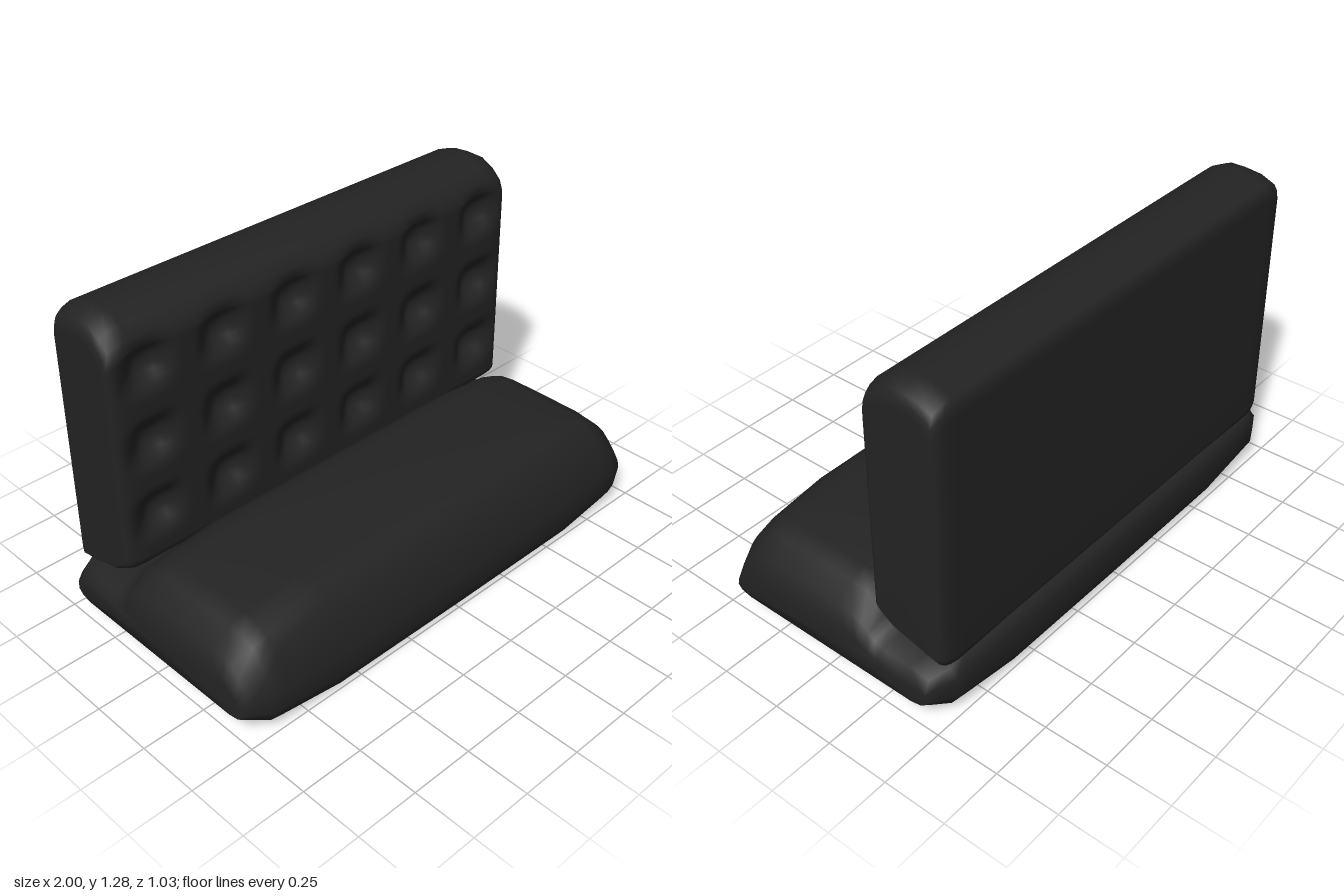
import * as THREE from 'three';

// Skin a closed (z, y) profile through stations along x; each station gives
// [x, zScale, yLow, yHigh]. dent(x, y, z) returns how far a point is pushed back.
function loft(profile, stations, zMid, dent) {
  const ys = profile.map(p => p[1]);
  const lo = Math.min(...ys), hi = Math.max(...ys);
  const n = profile.length, pos = [], idx = [];
  for (const [x, zs, y0, y1] of stations) {
    for (const [pz, py] of profile) {
      const y = y0 + (py - lo) / (hi - lo) * (y1 - y0);
      const z = zMid + (pz - zMid) * zs;
      pos.push(x, y, z - (dent ? dent(x, y, z) : 0));
    }
  }
  for (let i = 0; i < stations.length - 1; i++) {
    for (let j = 0; j < n; j++) {
      const k = (j + 1) % n;
      const a = i * n + j, b = i * n + k, c = b + n, d = a + n;
      idx.push(a, d, c, a, c, b);
    }
  }
  // End caps
  for (const end of [0, stations.length - 1]) {
    const [x, , y0, y1] = stations[end];
    const centre = pos.length / 3;
    pos.push(x, y0 + (y1 - y0) * 0.35, zMid);
    for (let j = 0; j < n; j++) {
      const a = end * n + j, b = end * n + (j + 1) % n;
      if (end) idx.push(centre, b, a);
      else idx.push(centre, a, b);
    }
  }
  const g = new THREE.BufferGeometry();
  g.setAttribute('position', new THREE.Float32BufferAttribute(pos, 3));
  g.setIndex(idx);
  g.computeVertexNormals();
  return g;
}

// Mirror right-hand stations (outermost first) onto both ends
function bothEnds(ends, middle, xMid = 0) {
  const left = ends.map(([x, ...r]) => [xMid - x, ...r]);
  const right = ends.map(([x, ...r]) => [xMid + x, ...r]).reverse();
  return [...left, ...middle, ...right];
}

export function createModel() {
  const model = new THREE.Group();
  const leather = new THREE.MeshStandardMaterial({ color: 0x232323 });
  leather.name = 'black leather';

  // Seat cushion with a low ledge behind
  const seatProfile = [
    [0.45, 0], [0.5, 0.025], [0.52, 0.08], [0.512, 0.16], [0.49, 0.24], [0.46, 0.3],
    [0.42, 0.36], [0.38, 0.385], [0.31, 0.4], [0.13, 0.402], [-0.04, 0.4], [-0.11, 0.387],
    [-0.16, 0.355], [-0.19, 0.31], [-0.22, 0.27], [-0.26, 0.25], [-0.4, 0.247],
    [-0.49, 0.23], [-0.515, 0.18], [-0.515, 0.08], [-0.49, 0.025], [-0.44, 0],
  ];
  const seatEnds = [
    [1, 0.87, 0.08, 0.22], [0.97, 0.9, 0.062, 0.285], [0.9, 0.965, 0.03, 0.347],
    [0.84, 0.975, 0.024, 0.372], [0.6, 1, 0.003, 0.4],
  ];
  const seat = new THREE.Mesh(loft(seatProfile, bothEnds(seatEnds, [[0, 1, 0, 0.402]]), 0), leather);
  seat.name = 'seatCushion';
  model.add(seat);

  // Backrest profile, with many rows up the front face to carry the tufting
  const backProfile = [[-0.475, 0.225], [-0.42, 0.235], [-0.25, 0.275], [-0.19, 0.31]];
  const rows = 42;
  for (let i = 0; i <= rows; i++) backProfile.push([-0.165, 0.335 + i / rows * 0.835]);
  backProfile.push([-0.18, 1.21], [-0.22, 1.247], [-0.28, 1.277], [-0.34, 1.278], [-0.4, 1.272],
    [-0.46, 1.248], [-0.475, 1.225], [-0.48, 1.19], [-0.48, 0.7], [-0.48, 0.25]);

  const backEnds = [
    [0.95, 0.8, 0.255, 1.2], [0.945, 0.88, 0.245, 1.228], [0.93, 0.95, 0.235, 1.252],
    [0.905, 0.985, 0.228, 1.267], [0.87, 1, 0.225, 1.278],
  ];
  const columns = [];
  for (let i = 1; i < 88; i++) columns.push([-0.01 - 0.87 + i / 88 * 1.74, 1, 0.225, 1.278]);

  // Tufted hollows: six columns by three rows
  const hollow = (d, reach) => 1 - THREE.MathUtils.smoothstep(Math.abs(d), 0.012, reach);
  const tuft = (x, y, z) => {
    if (z < -0.2) return 0;
    let depth = 0;
    for (let c = 0; c < 6; c++) {
      for (const cy of [0.51, 0.8, 1.09]) {
        const cx = -0.805 + c * 0.318;
        depth += 0.06 * hollow(x - cx, 0.125) * hollow(y - cy, 0.11);
      }
    }
    return depth;
  };
  const back = new THREE.Mesh(loft(backProfile, bothEnds(backEnds, columns, -0.01), -0.3225, tuft), leather);
  back.name = 'tuftedBackrest';
  model.add(back);

  return model;
}
